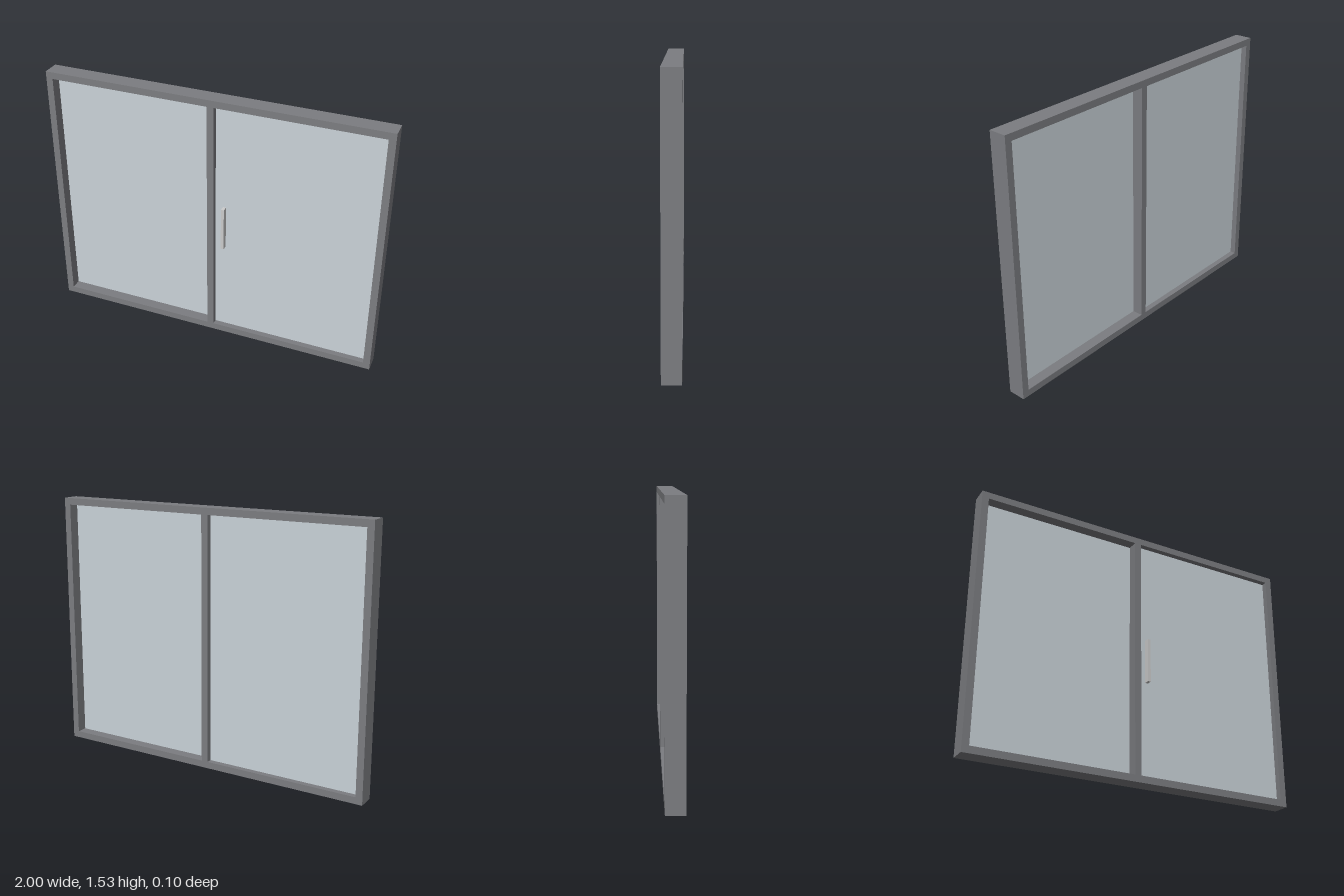
import * as THREE from 'three';

const W = 2, H = 1.535, D = 0.104; // overall size
const BAR = 0.04;                  // width of the frame bars
const PANE_Z = 0.015, PANE_T = 0.006;

const frameMat = new THREE.MeshStandardMaterial({ color: 0x7c7d81 });
const glassMat = new THREE.MeshStandardMaterial({ color: 0xcad3d9 });
const handleMat = new THREE.MeshStandardMaterial({ color: 0xcccccc });

function rectPoints(x0, y0, x1, y1) {
  return [[x0, y0], [x1, y0], [x1, y1], [x0, y1]].map(([x, y]) => new THREE.Vector2(x, y));
}

function box(name, size, position, material) {
  const mesh = new THREE.Mesh(new THREE.BoxGeometry(...size), material);
  mesh.name = name;
  mesh.position.set(...position);
  return mesh;
}

export function createModel() {
  const model = new THREE.Group();
  model.name = 'slidingWindow';

  // Frame with centre mullion: one slab with two openings
  const outline = new THREE.Shape(rectPoints(-W / 2, 0, W / 2, H));
  const openW = W / 2 - BAR * 1.5;
  for (const side of [-1, 1]) {
    const cx = side * (BAR / 2 + openW / 2);
    outline.holes.push(new THREE.Path(
      rectPoints(cx - openW / 2, BAR, cx + openW / 2, H - BAR).reverse()));
  }
  const frameGeo = new THREE.ExtrudeGeometry(outline, { depth: D, bevelEnabled: false });
  frameGeo.translate(0, 0, -D / 2);
  const frame = new THREE.Mesh(frameGeo, frameMat);
  frame.name = 'frame';
  model.add(frame);

  // Glass panes on two tracks: the left (+x) one in front, the other behind
  for (const side of [-1, 1]) {
    model.add(box(side > 0 ? 'leftPane' : 'rightPane',
      [openW, H - 2 * BAR, PANE_T],
      [side * (BAR / 2 + openW / 2), H / 2, side * PANE_Z], glassMat));
  }

  // Pull handle on the front pane
  const z0 = PANE_Z + PANE_T / 2, z1 = D / 2 - 0.001;
  model.add(box('handle', [0.018, 0.265, z1 - z0], [0.074, 0.738, (z0 + z1) / 2], handleMat));

  return model;
}
